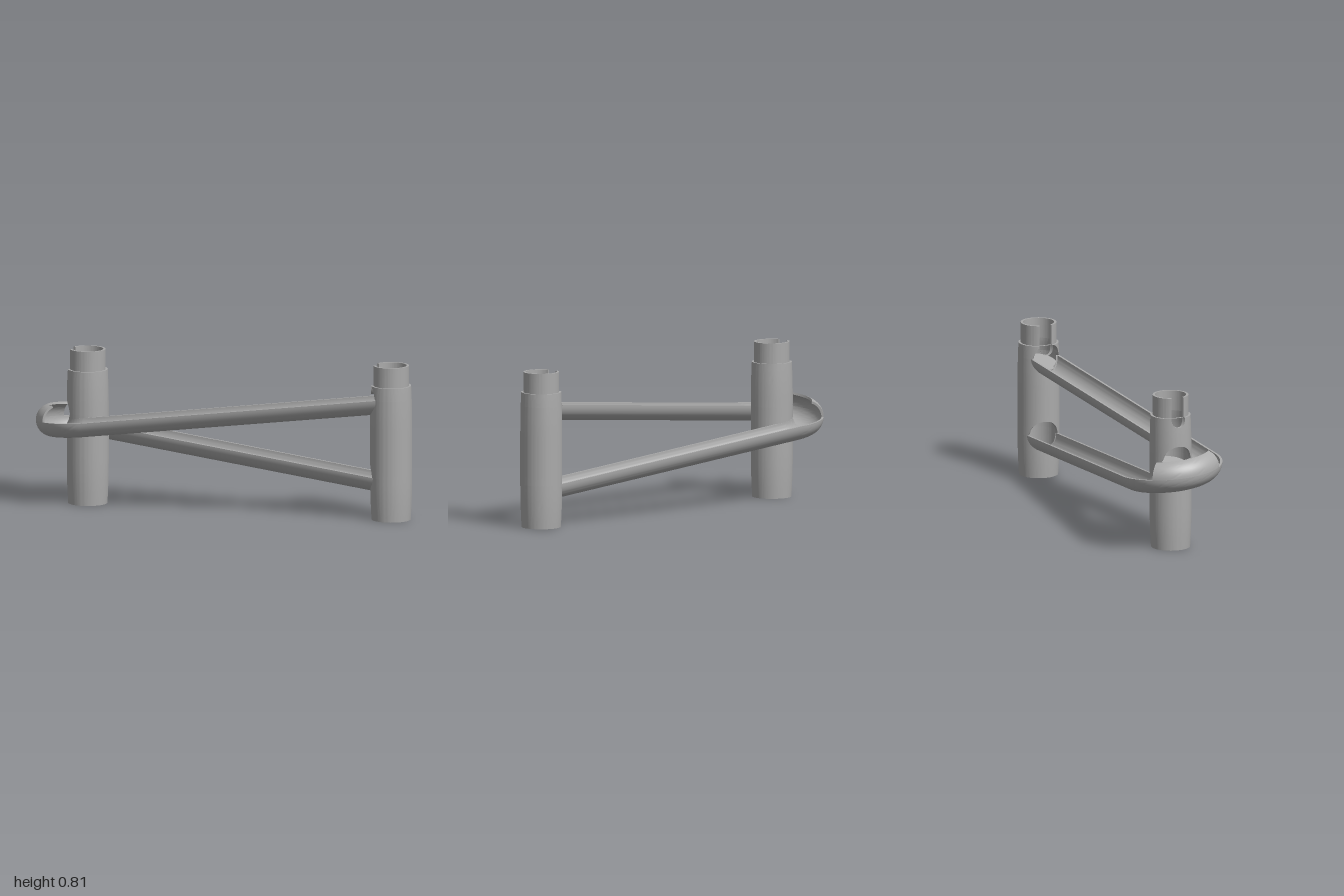
import * as THREE from 'three';
import { toCreasedNormals } from 'three/addons/utils/BufferGeometryUtils.js';

const POST_L = -0.733, POST_R = 0.891;   // post centres on x
const TURN_R = 0.182, PIPE_R = 0.085, WALL = 0.012;
const MID_Y = 0.428, SLOPE = 0.11;       // gutter axis height at mid-turn, and fall
const SPAN = POST_R - POST_L;
const ALPHA = Math.asin(TURN_R / SPAN);  // angle of the straight runs
const RUN = SPAN * Math.cos(ALPHA), HALF_TURN = Math.PI / 2 + ALPHA;

// Skin a row of closed loops; each loop is outer side then inner side reversed
function loft(loops, capped) {
  const out = [], e1 = new THREE.Vector3(), e2 = new THREE.Vector3();
  const tri = (a, b, c) => {
    if (e1.subVectors(b, a).cross(e2.subVectors(c, a)).length() < 1e-9) return;
    for (const p of [a, b, c]) out.push(p.x, p.y, p.z);
  };
  const n = loops[0].length;
  for (let i = 0; i < loops.length - 1; i++) {
    const A = loops[i], B = loops[i + 1];
    for (let j = 0; j < n; j++) {
      const k = (j + 1) % n;
      tri(A[j], B[j], B[k]);
      tri(A[j], B[k], A[k]);
    }
  }
  if (capped) {
    const S = loops[0], E = loops[loops.length - 1];
    for (let k = 0; k < n / 2 - 1; k++) {
      tri(S[k], S[k + 1], S[n - 2 - k]);
      tri(S[k], S[n - 2 - k], S[n - 1 - k]);
      tri(E[k], E[n - 2 - k], E[k + 1]);
      tri(E[k], E[n - 1 - k], E[n - 2 - k]);
    }
  }
  const g = new THREE.BufferGeometry();
  g.setAttribute('position', new THREE.Float32BufferAttribute(out, 3));
  return toCreasedNormals(g, 0.6);
}

// Gutter axis: point and outward direction at signed length s from mid-turn
function track(s) {
  const arc = TURN_R * HALF_TURN, side = Math.sign(s) || 1;
  const psi = side * Math.min(Math.abs(s), arc) / TURN_R;
  const n = new THREE.Vector3(-Math.cos(psi), 0, Math.sin(psi));
  const p = n.clone().multiplyScalar(TURN_R);
  const extra = Math.max(0, Math.abs(s) - arc);
  p.x += POST_L + extra * Math.cos(ALPHA);
  p.z -= side * extra * Math.sin(ALPHA);
  p.y = MID_Y + SLOPE * s;
  return { p, n };
}

// Curved wall along the track between two section angles
function gutter(stations, from, to, steps) {
  return loft(stations.map((s) => {
    const { p, n } = track(s), outer = [], inner = [];
    for (let j = 0; j <= steps; j++) {
      const a = THREE.MathUtils.lerp(from(s), to(s), j / steps);
      const at = (r) => p.clone().addScaledVector(n, r * Math.cos(a)).add(new THREE.Vector3(0, r * Math.sin(a), 0));
      outer.push(at(PIPE_R));
      inner.unshift(at(PIPE_R - WALL));
    }
    return outer.concat(inner);
  }), true);
}

const SLOT = 0.38;                       // half angle of the collar slot
const bodyR = (y) => 0.108 - 0.007 * Math.max(0, 1 - y / 0.22) ** 2 - 0.005 * Math.max(0, (y - 0.5) / 0.2) ** 2;
const bodyInner = (y) => bodyR(y) - WALL - 0.011 * THREE.MathUtils.smoothstep(y, 0.6, 0.7);

// One band of post wall between two heights that vary around the post
function band(lower, upper, rOut, rIn, rows) {
  const angles = [];
  for (let i = 0; i <= 96; i++) angles.push(-Math.PI + (i / 96) * Math.PI * 2);
  for (const s of [-1, 1]) angles.push(s * (SLOT - 0.001), s * (SLOT + 0.001));
  angles.sort((a, b) => a - b);
  return loft(angles.map((f) => {
    const hi = upper(f), lo = Math.min(lower(f), hi), outer = [], inner = [];
    for (let j = 0; j <= rows; j++) {
      const y = lo + (hi - lo) * j / rows;
      const at = (r) => new THREE.Vector3(-r * Math.cos(f), y, r * Math.sin(f));
      outer.push(at(rOut(y)));
      inner.unshift(at(rIn(y)));
    }
    return outer.concat(inner);
  }), false);
}

// Half height of a round opening facing angle f0
function opening(f, f0, r) {
  const d = f - f0;
  return Math.abs(d) > 1.4 ? 0 : Math.sqrt(Math.max(0, r * r - (0.105 * Math.sin(d)) ** 2));
}

function makePost(name, x, holes, floorY, material) {
  const post = new THREE.Group();
  post.name = name;
  post.position.x = x;
  const add = (geo, label) => {
    const m = new THREE.Mesh(geo, material);
    m.name = label;
    post.add(m);
    return m;
  };
  // Body wall, split at each opening
  const slotFloor = (f) => Math.abs(f) < SLOT
    ? 0.69 - Math.sqrt(Math.max(0, 0.04 ** 2 - (0.105 * f) ** 2)) : 0.7;
  let lower = () => 0;
  for (const h of holes) {
    add(band(lower, (f) => h.y - opening(f, h.f, h.r), bodyR, bodyInner, 8), 'postBody');
    lower = (f) => h.y + opening(f, h.f, h.r);
  }
  add(band(lower, slotFloor, bodyR, bodyInner, 8), 'postBody');
  // Slotted collar
  add(band(() => 0.7, (f) => (Math.abs(f) < SLOT ? 0.7 : 0.805), () => 0.092, () => 0.08, 1), 'postCollar');
  // Sloping floor that leads to the opening
  const floor = add(new THREE.CylinderGeometry(0.095, 0.095, 0.012, 48), 'postFloor');
  floor.position.y = floorY;
  floor.rotation.z = 0.25;
  return post;
}

export function createModel() {
  const grey = new THREE.MeshStandardMaterial({ color: 0xaaaaaa });
  grey.name = 'plain grey';
  const model = new THREE.Group();
  model.name = 'ballTrack';

  // Gutter: front run, turn round the left post, back run
  const arc = TURN_R * HALF_TURN, end = arc + RUN - 0.067, stations = [end];
  for (let i = 0; i <= 60; i++) stations.push(arc - (2 * arc * i) / 60);
  stations.push(-end);
  // The inner wall dips where the left post opens into the turn
  const dip = (s) => 0.5 * (1 - THREE.MathUtils.smoothstep(Math.abs(s) / TURN_R, 0.35, 0.8));
  const gutterMesh = new THREE.Mesh(gutter(stations, () => 0, (s) => -Math.PI + dip(s), 28), grey);
  gutterMesh.name = 'gutter';

  // Hood over the outer half of the turn
  const hoodStations = [];
  for (let i = 0; i <= 24; i++) hoodStations.push(TURN_R * (Math.PI / 4) * (1 - i / 12));
  const hood = new THREE.Mesh(gutter(hoodStations, () => 1.27, () => 0, 12), grey);
  hood.name = 'turnHood';
  model.add(gutterMesh, hood);

  // Posts
  const yTop = MID_Y + SLOPE * end, yLow = MID_Y - SLOPE * end;
  model.add(
    makePost('leftPost', POST_L, [{ y: 0.475, f: 0, r: 0.076 }], 0.425, grey),
    makePost('rightPost', POST_R, [
      { y: yLow, f: -ALPHA, r: 0.076 },
      { y: yTop, f: ALPHA, r: 0.076 },
    ], 0.585, grey),
  );
  return model;
}
